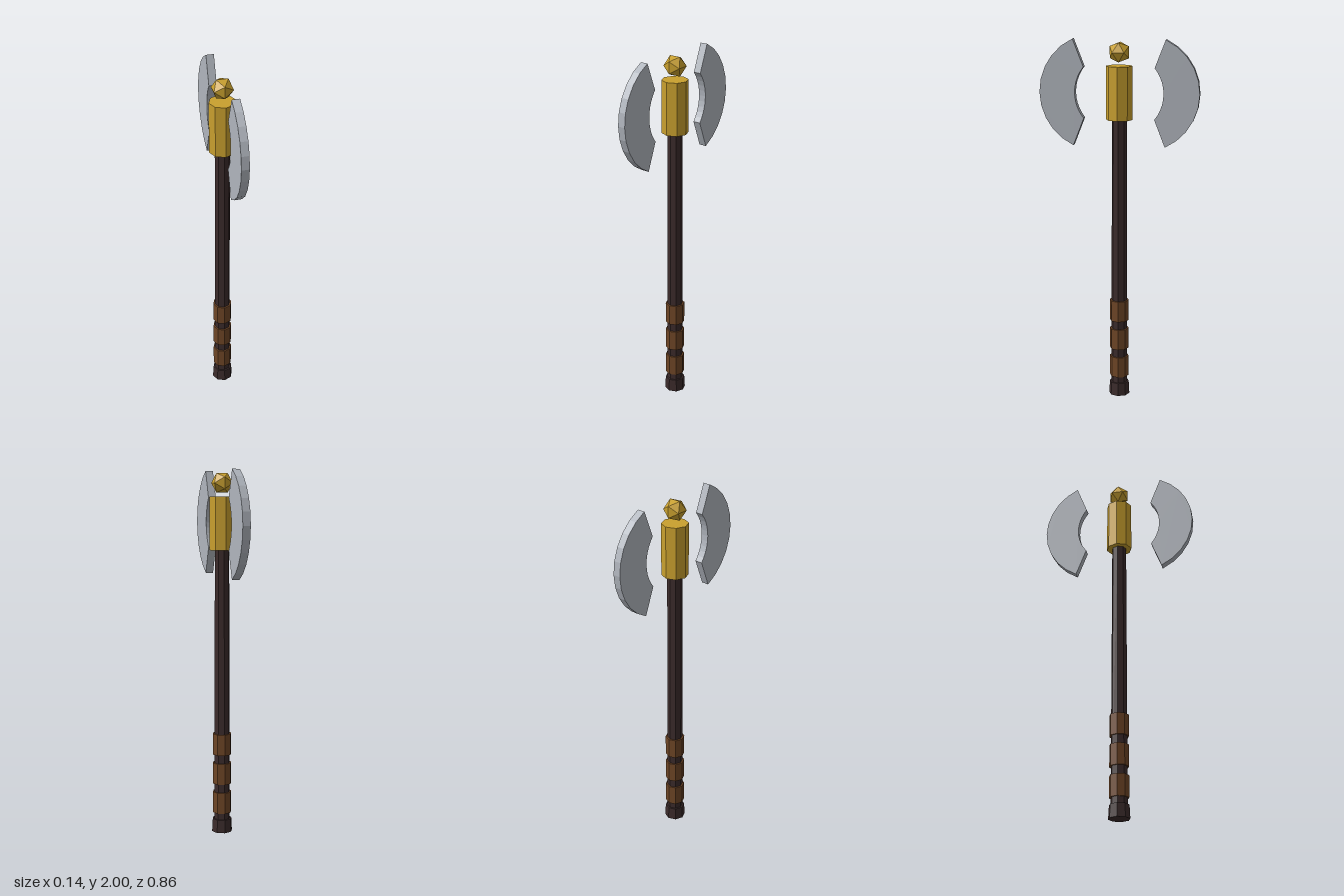
import * as THREE from 'three';

const flat = (name, color) => {
  const m = new THREE.MeshStandardMaterial({ color, flatShading: true });
  m.name = name;
  return m;
};

export function createModel() {
  const wood = flat('darkWood', 0x3b2b2b);
  const leather = flat('brownLeather', 0x6f4626);
  const gold = flat('gold', 0xc9a02e);
  const steel = flat('steel', 0xb0b5bd);

  const axe = new THREE.Group();
  axe.name = 'doubleAxe';

  const add = (name, geometry, material) => {
    const mesh = new THREE.Mesh(geometry, material);
    mesh.name = name;
    axe.add(mesh);
    return mesh;
  };

  // Upright eight-sided cylinder between two heights
  const post = (name, y0, y1, rTop, rBottom, material) => {
    const mesh = add(name, new THREE.CylinderGeometry(rTop, rBottom, y1 - y0, 8), material);
    mesh.position.y = (y0 + y1) / 2;
  };

  // Handle, pommel and grip bands
  post('shaft', 0.04, 1.72, 0.04, 0.045, wood);
  post('pommel', 0, 0.073, 0.054, 0.058, wood);
  for (let i = 0; i < 3; i++) {
    const y = 0.11 + i * 0.166;
    post('gripWrap', y, y + 0.118, 0.053, 0.053, leather);
  }

  // Head collar and faceted finial
  post('collar', 1.573, 1.858, 0.071, 0.071, gold);
  add('finial', new THREE.IcosahedronGeometry(0.06, 0), gold).position.y = 1.93;

  // Crescent blade: outer cutting arc, then inner arc back
  const outer = 1.14, inner = 0.68;
  const crescent = new THREE.Shape();
  crescent.absarc(0.117, 0, 0.312, -outer, outer, false);
  crescent.absarc(0.021, 0, 0.217, inner, -inner, true);
  crescent.closePath();
  const bladeGeometry = new THREE.ExtrudeGeometry(crescent, {
    depth: 0.042, bevelEnabled: false, curveSegments: 5,
  });
  bladeGeometry.translate(0, 0, -0.021);
  bladeGeometry.rotateY(-Math.PI / 2);

  // Front and back blades
  ['frontBlade', 'backBlade'].forEach((name, i) => {
    const blade = add(name, bladeGeometry, steel);
    blade.position.y = 1.715;
    blade.rotation.y = i * Math.PI;
  });

  return axe;
}
